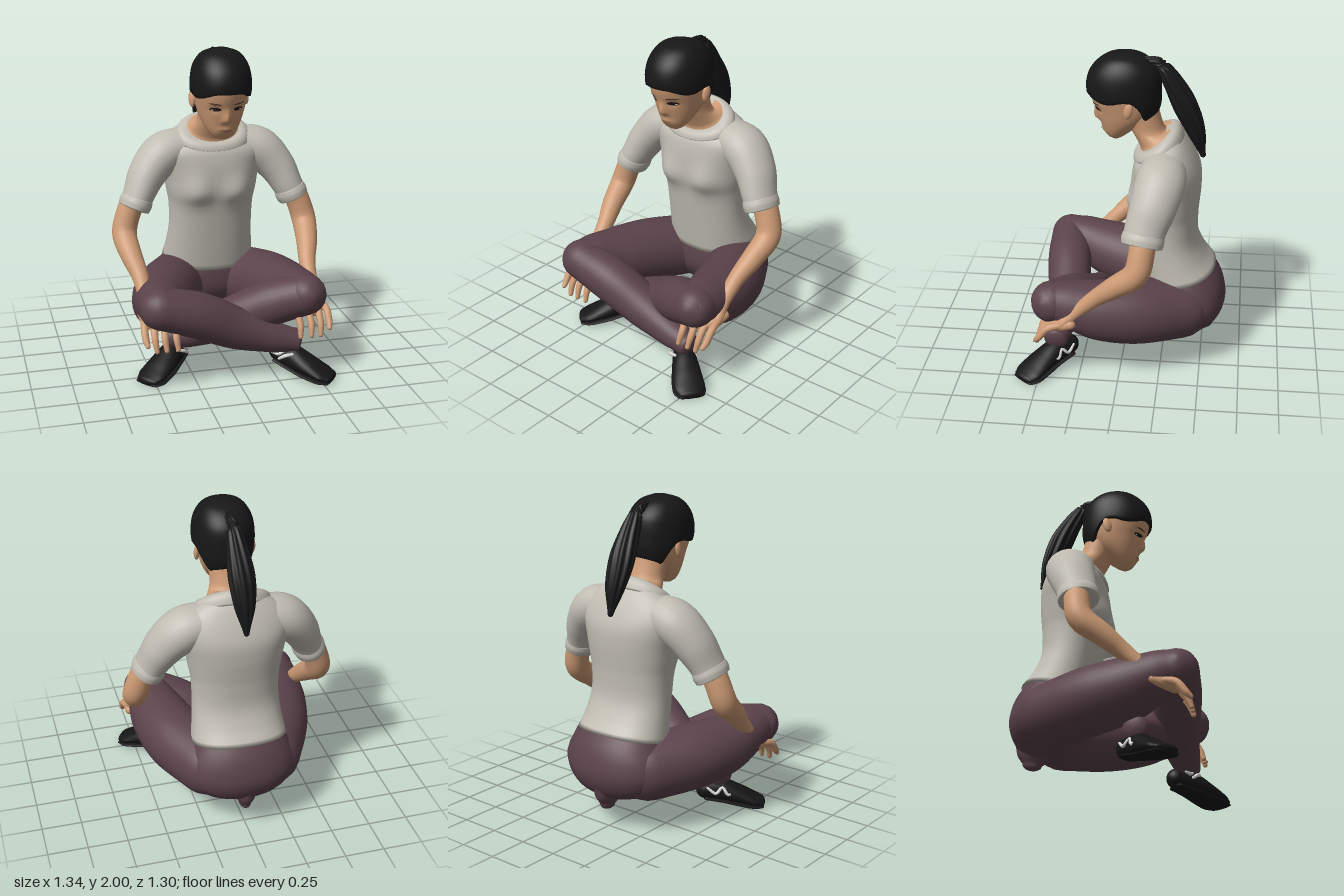
import * as THREE from 'three';

const mat = (name, color) => Object.assign(new THREE.MeshStandardMaterial({ color }), { name });
const V3 = (x, y, z) => new THREE.Vector3(x, y, z);
const smooth = THREE.MathUtils.smoothstep;

// Closed skin over a list of rings, capped at both ends
function skin(rings) {
  const n = rings[0].length, pos = [], idx = [];
  for (const r of rings) for (const p of r) pos.push(p.x, p.y, p.z);
  for (let i = 0; i < rings.length - 1; i++) for (let j = 0; j < n; j++) {
    const a = i * n + j, b = i * n + (j + 1) % n;
    idx.push(a, b, b + n, a, b + n, a + n);
  }
  for (const end of [0, rings.length - 1]) {
    const c = V3(0, 0, 0), k = pos.length / 3;
    rings[end].forEach(p => c.addScaledVector(p, 1 / n));
    pos.push(c.x, c.y, c.z);
    for (let j = 0; j < n; j++) {
      const a = end * n + j, b = end * n + (j + 1) % n;
      end ? idx.push(k, a, b) : idx.push(k, b, a);
    }
  }
  const g = new THREE.BufferGeometry();
  g.setAttribute('position', new THREE.Float32BufferAttribute(pos, 3));
  g.setIndex(idx);
  g.computeVertexNormals();
  return g;
}

// Smooth lookup in a table of [y, front z, back z, half width, tilt]
function at(table, y) {
  let i = 0;
  while (i < table.length - 2 && y > table[i + 1][0]) i++;
  const a = table[i], b = table[i + 1], h = b[0] - a[0], t = (y - a[0]) / h;
  const slope = (k, c) => {
    const p = table[Math.max(k - 1, 0)], q = table[Math.min(k + 1, table.length - 1)];
    return ((q[c] || 0) - (p[c] || 0)) / (q[0] - p[0]);
  };
  return [0, 1, 2, 3, 4].map(c => c === 0 ? y :
    (a[c] || 0) * (1 + 2 * t) * (1 - t) ** 2 + (b[c] || 0) * t * t * (3 - 2 * t) +
    h * (slope(i, c) * t * (1 - t) ** 2 + slope(i + 1, c) * t * t * (t - 1)));
}

// Point on a horizontal rounded section
function onSection([y, zf, zb, hw, tilt], th, e = 2, grow = 0) {
  const s = Math.sin(th), c = Math.cos(th), f = v => Math.sign(v) * Math.abs(v) ** (2 / e);
  return V3(f(s) * (hw + grow), y + tilt * f(c), (zf + zb) / 2 + f(c) * ((zf - zb) / 2 + grow));
}

function loft(table, { e = 2, n = 48, sub = 4, rule } = {}) {
  const rings = [];
  for (let i = 0; i < table.length - 1; i++) for (let k = 0; k < sub + (i === table.length - 2); k++) {
    const sec = at(table, table[i][0] + (table[i + 1][0] - table[i][0]) * k / sub);
    rings.push(Array.from({ length: n }, (_, j) => {
      const p = onSection(sec, j / n * Math.PI * 2, e);
      if (rule) rule(p);
      return p;
    }));
  }
  return skin(rings);
}

// Tapered limb through [x, y, z, radius, radius along ref], with rounded ends
function limb(pts, { ref = [0, 0, 1], round = [1, 1], n = 24, sub = 6, ridge = 0, floor = -9 } = {}) {
  const path = new THREE.CatmullRomCurve3(pts.map(p => V3(p[0], p[1], p[2])));
  const size = new THREE.CatmullRomCurve3(pts.map((p, i) => V3(p[3], p[4] ?? p[3], i)), false, 'catmullrom', 0.4);
  const rings = [], steps = (pts.length - 1) * sub;
  const ring = (t, push, scale) => {
    const T = path.getTangent(t), r = size.getPoint(t);
    const V = V3(...ref).addScaledVector(T, -T.dot(V3(...ref))).normalize();
    const U = T.clone().cross(V), c = path.getPoint(t).addScaledVector(T, push * Math.min(r.x, r.y));
    rings.push(Array.from({ length: n }, (_, j) => {
      const th = j / n * Math.PI * 2, k = scale * (1 + ridge * Math.cos(th * 9 + t * 3));
      const p = c.clone().addScaledVector(U, Math.sin(th) * r.x * k).addScaledVector(V, Math.cos(th) * r.y * k);
      p.y = Math.max(p.y, floor);
      return p;
    }));
  };
  const caps = [0.12, 0.4, 0.7, 1, 1.3];
  if (round[0]) caps.forEach(a => ring(0, -Math.cos(a) * round[0], Math.sin(a)));
  for (let i = 0; i <= steps; i++) ring(i / steps, 0, 1);
  if (round[1]) caps.slice().reverse().forEach(a => ring(1, Math.cos(a) * round[1], Math.sin(a)));
  return skin(rings);
}

// Head sections and the face surface
const HEAD = [[1.455, .085, .03, .035], [1.475, .112, 0, .066], [1.52, .135, -.06, .1], [1.58, .157, -.14, .13],
  [1.64, .177, -.185, .148], [1.7, .202, -.2, .16], [1.76, .217, -.2, .168], [1.82, .217, -.198, .166],
  [1.88, .197, -.185, .154], [1.93, .155, -.145, .128], [1.965, .1, -.09, .09], [1.985, .03, -.02, .03]];
const gauss = (v, w) => Math.exp(-((v / w) ** 2));
const relief = (x, y) =>
  .03 * gauss(x, .026) * smooth(y, 1.555, 1.585) * (1 - smooth(y, 1.585, 1.68)) +    // nose
  .011 * gauss(x, .05) * gauss(y - 1.515, .02) -                                     // mouth
  .012 * gauss(Math.abs(x) - .07, .03) * gauss(y - 1.658, .02);                      // eye sockets
function faceZ(x, y) {
  const [, zf, zb, hw] = at(HEAD, y);
  return (zf + zb) / 2 + (zf - zb) / 2 * Math.sqrt(Math.max(0, 1 - (x / hw) ** 2)) + relief(x, y);
}
// Thin oval patch that follows the face
function facePatch(cx, cy, a, b, lift, slant = 0) {
  const g = new THREE.CircleGeometry(1, 24), p = g.attributes.position;
  for (let i = 0; i < p.count; i++) {
    const x = cx + p.getX(i) * a, y = cy + p.getY(i) * b + p.getX(i) * slant;
    p.setXYZ(i, x, y, faceZ(x, y) + lift);
  }
  g.computeVertexNormals();
  return g;
}

export function createModel() {
  const root = new THREE.Group();
  const shirt = mat('shirt grey', 0xc0bcb2), trousers = mat('trouser plum', 0x5b434b), skinTone = mat('skin', 0xcc9a74);
  const hair = mat('hair black', 0x171717), shoe = mat('shoe black', 0x161616), lace = mat('lace white', 0xd8d8d4);
  const dark = mat('eye dark', 0x20181a), brow = mat('brow brown', 0x5a3e30), lip = mat('lip', 0xb98566);
  const add = (name, geo, m) => {
    const mesh = new THREE.Mesh(geo, m);
    mesh.name = name;
    root.add(mesh);
    return mesh;
  };

  // Shirt body, with the bust shaped by a rule
  add('shirtBody', loft([[.57, -.14, -.578, .298, -.05], [.68, -.118, -.512, .282, -.025], [.82, -.092, -.462, .27],
    [.97, -.068, -.458, .274], [1.06, -.05, -.465, .29], [1.15, -.045, -.472, .305], [1.25, -.045, -.468, .33, -.01],
    [1.33, -.055, -.432, .345, -.025], [1.395, -.068, -.378, .3, -.055], [1.445, -.085, -.32, .2, -.078]], {
    e: 2.25, rule: p => {
      if (p.z > -.2) p.z += .042 * gauss(Math.abs(p.x) - .14, .095) * gauss(p.y - 1.07, p.y < 1.07 ? .08 : .11);
    }
  }), shirt);
  // Flat collar band lying on the tilted neckline
  add('collar', loft([[1.412, -.05, -.36, .242, -.073], [1.445, -.056, -.342, .228, -.08], [1.466, -.072, -.32, .2, -.08],
    [1.474, -.1, -.295, .165, -.078]], { e: 2.1 }), shirt);

  // Neck, head and ears
  add('neck', loft([[1.465, -.095, -.3, .17, -.078], [1.482, -.088, -.287, .15, -.062], [1.515, -.035, -.25, .12],
    [1.58, 0, -.22, .115], [1.66, .05, -.2, .12]]), skinTone);
  add('head', loft(HEAD, { n: 96, sub: 5, rule: p => { if (p.z > .03) p.z += relief(p.x, p.y); } }), skinTone);
  for (const s of [1, -1]) {
    const ear = add('ear', new THREE.SphereGeometry(1, 16, 12), skinTone);
    ear.scale.set(.018, .053, .028);
    ear.position.set(s * .17, 1.69, -.032);
    ear.rotation.set(-.2, s * -.3, 0);
    add('eye', facePatch(s * .07, 1.657, .032, .012, .004), dark);
    add('eyeWhite', facePatch(s * .086, 1.653, .007, .004, .006), lace);
    add('eyebrow', facePatch(s * .075, 1.692, .036, .005, .004, s * .003), brow);
  }
  add('lips', facePatch(0, 1.515, .042, .015, .003), lip);
  add('mouthLine', facePatch(0, 1.517, .036, .0018, .005), brow);

  // Hair cap, longer at the nape than over the brow
  const hairRings = [];
  for (let i = 0; i <= 25; i++) hairRings.push(Array.from({ length: 64 }, (_, j) => {
    const th = j / 64 * Math.PI * 2, a = Math.min(th, Math.PI * 2 - th);
    const low = 1.756 - .036 * smooth(a, .3, 1.1) + .018 * smooth(a, 1.2, 1.6) - .133 * smooth(a, 1.72, 2.4);
    const v = Math.sin(Math.max(i - 1, 0) / 24 * Math.PI / 2);
    const p = onSection(at(HEAD, low + (1.985 - low) * v), th, 2.1, i ? .018 : -.01);
    p.y += .014 * v * v;
    return p;
  }));
  add('hairCap', skin(hairRings), hair);
  add('ponytail', limb([[0, 1.945, -.12, .03], [0, 1.935, -.2, .032], [-.005, 1.83, -.275, .055], [-.01, 1.67, -.36, .075, .07],
    [-.01, 1.52, -.425, .062, .055], [-.01, 1.35, -.475, .016]], { ref: [0, 1, 1], n: 72, ridge: .08 }), hair);

  // Pelvis and seat fold
  add('pelvis', loft([[.19, -.3, -.51, .12], [.25, -.22, -.595, .27], [.36, -.15, -.645, .35], [.46, -.14, -.638, .345],
    [.55, -.155, -.605, .302], [.64, -.2, -.54, .25]], { e: 2.1 }), trousers);
  add('seatFold', limb([[0, .28, -.48, .1, .15], [0, .21, -.5, .065, .11], [0, .155, -.51, .035, .06]]), trousers);

  for (const s of [1, -1]) {
    const side = pts => pts.map(([x, ...rest]) => [s * x, ...rest]);

    // Sleeve with a turned cuff
    add('sleeve', limb(side([[.16, 1.355, -.25, .108, .13], [.31, 1.302, -.24, .134, .152], [.42, 1.19, -.205, .12, .14],
      [.485, 1.07, -.165, .1, .125], [.52, .995, -.15, .092, .118]]), { round: [.8, .1] }), shirt);
    add('sleeveCuff', limb(side([[.497, 1.045, -.157, .099, .124], [.51, 1.015, -.152, .104, .129], [.524, .985, -.147, .099, .124]]),
      { round: [.1, .1] }), shirt);

    // Arm resting on the thigh, palm and fingers curling under the knee
    add('arm', limb(side([[.49, 1.1, -.16, .08], [.56, .95, -.15, .078], [.592, .83, -.12, .078], [.575, .73, .0, .068],
      [.54, .62, .13, .052], [.535, .51, .25, .04], [.55, .435, .33, .036]])), skinTone);
    add('palm', limb(side([[.56, .44, .28, .032], [.545, .42, .35, .035], [.5, .41, .41, .038]])), skinTone);
    [.39, .46, .52, .575].forEach((x, i) => add('finger', limb(side([[.55 * .6 + x * .4, .43, .33, .023], [x, .41, .42, .023],
      [x, .345, .475, .021], [x - .006, i === 3 ? .32 : .28, .5, .015]]), { n: 12 }), skinTone));

    // Thigh, then the shin crossing to the other side (the left knee sits closer in)
    const front = s < 0, tuck = front ? 0 : .035;
    add('thigh', limb(side([[.2, .39, -.36, .2], [.33, .42, -.1, .205], [.405 - tuck / 2, .45, .12, .19],
      [.455 - tuck, .505, .32, .148], [.472 - tuck, .525, .415, .125]]), { ref: [0, 1, 0], n: 32 }), trousers);
    const z = front ? [.42, .4, .375, .39, .405] : [.41, .32, .23, .19, .165];
    add('shin', limb(side([[.475 - tuck, .52, z[0], .128], [.25, .45, z[1], .143], [0, .33, z[2], .132], [-.22, .255, z[3], .1],
      [-.385, .215, z[4], .074]]), { ref: [0, 1, 0], n: 32, round: [1, .4] }), trousers);

    // Shoe at the end of the crossed shin, toes turned out and down
    const dz = front ? 0 : -.23;
    const foot = pts => pts.map(([x, y, zz, ...r]) => [-s * x, y, zz + dz, ...r]);
    add('shoe', limb(foot([[.292, .127, .33, .058, .062], [.36, .115, .41, .074, .075], [.44, .08, .49, .09, .056],
      [.515, .045, .555, .096, .036], [.552, .03, .585, .077, .026]]), { ref: [0, 1, 0], floor: 0 }), shoe);
    add('shoeSole', limb(foot([[.292, .075, .33, .062, .016], [.365, .052, .415, .076, .016], [.44, .03, .49, .094, .016],
      [.515, .014, .555, .102, .014], [.557, .01, .59, .082, .01]]), { ref: [0, 1, 0], floor: 0 }), shoe);
    // Laces tied on the inner side of the instep and zigzagging along the outer side
    for (const k of [0, 1]) add('lace', limb(foot([[.235 + k * .03, .15 - k * .03, .4 + k * .04, .009],
      [.265 + k * .03, .145, .425 + k * .04, .012], [.3 + k * .04, .165 - k * .01, .435 + k * .04, .009]]), { n: 8, sub: 3 }), lace);
    add('sideLace', limb(foot([[.335, .15, .298, .008], [.382, .115, .327, .011], [.4, .15, .366, .011],
      [.437, .105, .38, .011], [.452, .115, .415, .008]]), { n: 8, sub: 4 }), lace);
  }
  return root;
}
